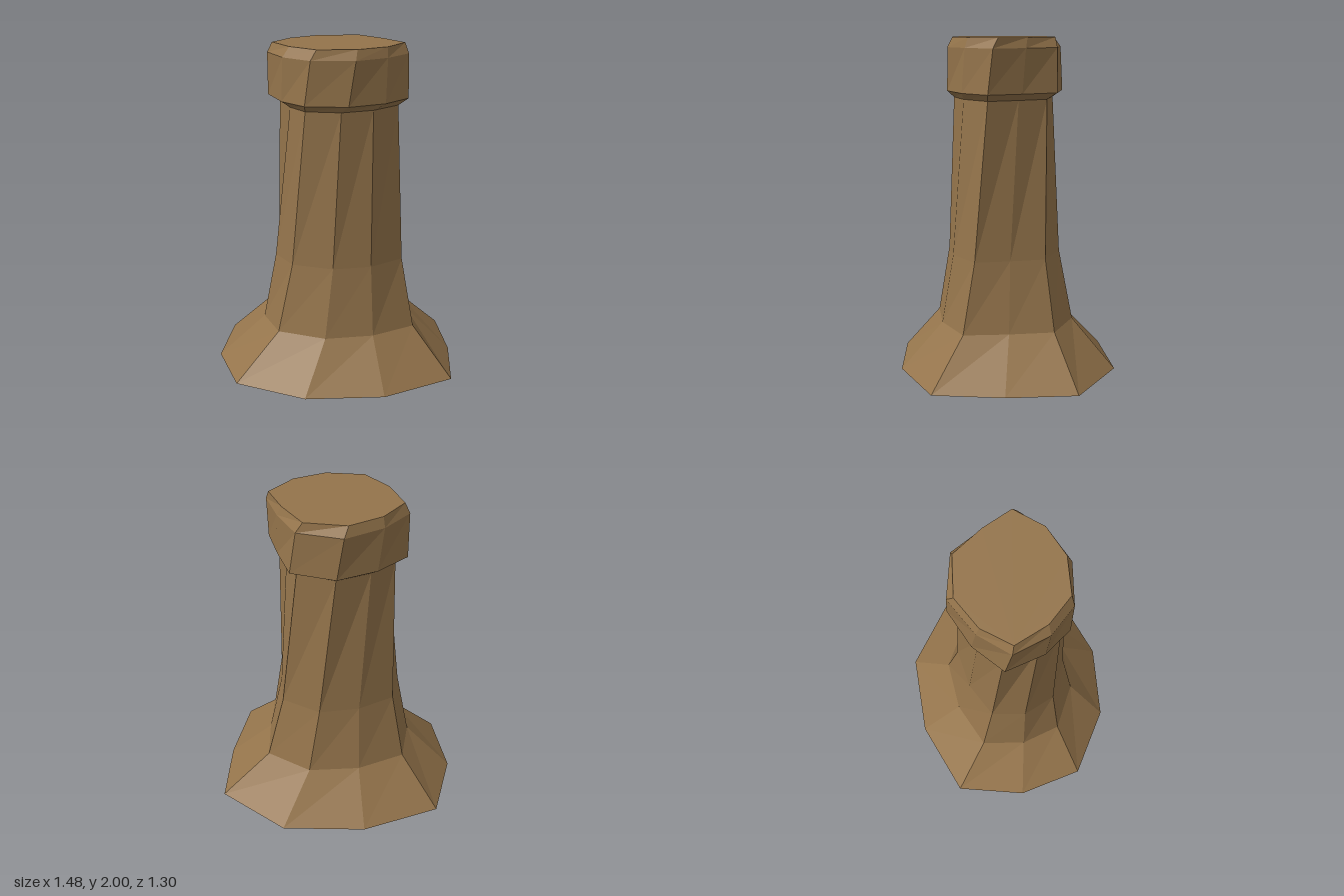
import * as THREE from 'three';

// Ten-sided cross-sections: height and ring of [x, z] corners, slightly twisted and uneven
const foot = { y: 0, ring: [[-0.67, -0.39], [-0.22, -0.61], [0.29, -0.65], [0.72, -0.39], [0.74, 0.03], [0.69, 0.45], [0.26, 0.65], [-0.21, 0.65], [-0.62, 0.44], [-0.74, 0.04]] };
const flare = { y: 0.28, ring: [[-0.43, -0.2], [-0.16, -0.35], [0.15, -0.4], [0.43, -0.27], [0.46, 0], [0.47, 0.27], [0.21, 0.4], [-0.08, 0.43], [-0.36, 0.31], [-0.45, 0.07]] };
const waist = { y: 0.7, ring: [[-0.35, -0.13], [-0.15, -0.26], [0.09, -0.32], [0.33, -0.22], [0.37, -0.01], [0.4, 0.2], [0.2, 0.33], [-0.03, 0.36], [-0.27, 0.27], [-0.37, 0.08]] };
const neck = { y: 1.64, ring: [[-0.33, -0.05], [-0.2, -0.18], [-0.01, -0.28], [0.22, -0.23], [0.3, -0.06], [0.37, 0.12], [0.21, 0.26], [0.02, 0.32], [-0.185, 0.28], [-0.27, 0.15]] };
const capLow = { y: 1.68, ring: [[-0.4, -0.05], [-0.24, -0.22], [-0.02, -0.34], [0.25, -0.29], [0.35, -0.08], [0.43, 0.12], [0.28, 0.27], [0.06, 0.36], [-0.19, 0.33], [-0.32, 0.18]] };
const capHigh = { y: 1.94, ring: [[-0.4, -0.01], [-0.27, -0.19], [-0.06, -0.33], [0.21, -0.29], [0.34, -0.1], [0.43, 0.09], [0.29, 0.25], [0.1, 0.355], [-0.155, 0.34], [-0.31, 0.2]] };
const capTop = { y: 2, ring: [[-0.37, 0], [-0.26, -0.17], [-0.08, -0.29], [0.17, -0.28], [0.31, -0.11], [0.41, 0.06], [0.29, 0.23], [0.11, 0.325], [-0.12, 0.325], [-0.27, 0.19]] };

// Skins a stack of sections with flat facets, closing the chosen ends
function loft(sections, closeBottom, closeTop) {
  const pos = [];
  const point = (s, i) => [s.ring[i % s.ring.length][0], s.y, s.ring[i % s.ring.length][1]];
  const n = sections[0].ring.length;
  const first = sections[0], last = sections[sections.length - 1];
  for (let k = 0; k < sections.length - 1; k++) {
    const low = sections[k], high = sections[k + 1];
    for (let i = 0; i < n; i++) {
      const a = point(low, i + 1), b = point(low, i), c = point(high, i), d = point(high, i + 1);
      pos.push(...a, ...b, ...c, ...a, ...c, ...d);
    }
  }
  for (let i = 1; i < n - 1; i++) {
    if (closeBottom) pos.push(...point(first, 0), ...point(first, i), ...point(first, i + 1));
    if (closeTop) pos.push(...point(last, 0), ...point(last, i + 1), ...point(last, i));
  }
  const geometry = new THREE.BufferGeometry();
  geometry.setAttribute('position', new THREE.Float32BufferAttribute(pos, 3));
  geometry.computeVertexNormals();
  return geometry;
}

export function createModel() {
  const group = new THREE.Group();
  group.name = 'pillar';
  const wood = new THREE.MeshStandardMaterial({ color: 0x94744b, flatShading: true });
  wood.name = 'brown wood';

  const add = (name, geometry) => {
    const mesh = new THREE.Mesh(geometry, wood);
    mesh.name = name;
    group.add(mesh);
  };
  add('flaredBase', loft([foot, flare], true, false));
  add('shaft', loft([flare, waist, neck], false, false));
  add('cap', loft([neck, capLow, capHigh, capTop], false, true));
  return group;
}
